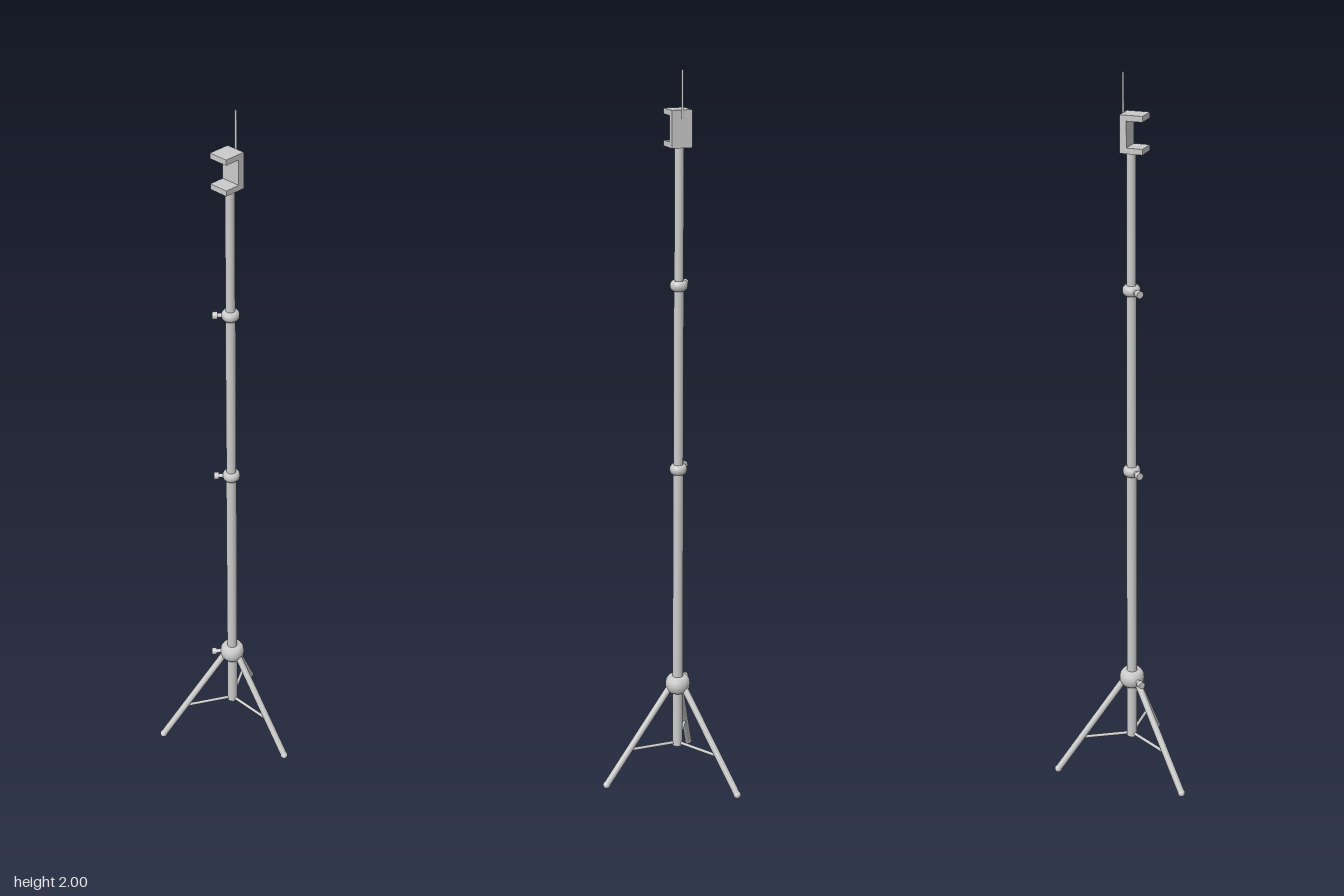
import * as THREE from 'three';

const material = new THREE.MeshStandardMaterial({ color: 0xcccccc });
const PX = -0.002, PZ = -0.053; // pole axis

function add(parent, name, geometry, x = 0, y = 0, z = 0) {
  const mesh = new THREE.Mesh(geometry, material);
  mesh.name = name;
  mesh.position.set(x, y, z);
  parent.add(mesh);
  return mesh;
}

// Round bar between two points
function rod(parent, name, a, b, radius, sides = 20) {
  const dir = b.clone().sub(a);
  const mesh = add(parent, name, new THREE.CylinderGeometry(radius, radius, dir.length(), sides));
  mesh.position.copy(a).add(b).multiplyScalar(0.5);
  mesh.quaternion.setFromUnitVectors(new THREE.Vector3(0, 1, 0), dir.normalize());
  return mesh;
}

// Bulging ring around the pole with a clamping knob at the back right
function collar(parent, name, y, radius, height, knobReach) {
  const group = new THREE.Group();
  group.name = name;
  group.position.y = y;
  const h = height / 2;
  const profile = [[0, -h], [radius * 0.75, -h], [radius * 0.95, -h * 0.55], [radius, 0],
    [radius * 0.95, h * 0.55], [radius * 0.75, h], [0, h]].map(p => new THREE.Vector2(...p));
  add(group, 'ring', new THREE.LatheGeometry(profile, 28));
  const at = d => new THREE.Vector3(-0.74 * d, 0, -0.67 * d);
  rod(group, 'knobStem', at(radius * 0.7), at(knobReach - 0.008), 0.006, 12);
  rod(group, 'knob', at(knobReach - 0.014), at(knobReach), 0.01, 16);
  parent.add(group);
}

export function createModel() {
  const model = new THREE.Group();
  model.name = 'tripodStand';
  const stand = new THREE.Group();
  stand.name = 'stand';
  stand.position.set(PX, 0, PZ);
  model.add(stand);

  // Telescoping pole sections
  [[0.1, 0.925, 0.0145], [0.925, 1.435, 0.0135], [1.435, 1.805, 0.0125]].forEach(([y0, y1, r], i) =>
    add(stand, 'poleSection' + (i + 1), new THREE.CylinderGeometry(r, r, y1 - y0, 24), 0, (y0 + y1) / 2, 0));

  // Hub and clamps
  collar(stand, 'hub', 0.29, 0.035, 0.046, 0.06);
  collar(stand, 'lowerClamp', 0.925, 0.024, 0.027, 0.048);
  collar(stand, 'upperClamp', 1.435, 0.024, 0.027, 0.048);

  // Legs with rounded feet, and braces to the foot of the pole
  for (let i = 0; i < 3; i++) {
    const leg = new THREE.Group();
    leg.name = 'legAssembly' + (i + 1);
    leg.rotation.y = i * Math.PI * 2 / 3;
    const top = new THREE.Vector3(0, 0.29, 0.018), foot = new THREE.Vector3(0, 0.0105, 0.215);
    rod(leg, 'leg', top, foot, 0.0095);
    add(leg, 'foot', new THREE.SphereGeometry(0.0105, 20, 12), foot.x, foot.y, foot.z);
    const joint = top.clone().lerp(foot, (0.29 - 0.108) / (0.29 - 0.0105));
    rod(leg, 'brace', new THREE.Vector3(0, 0.108, 0), joint, 0.0045, 12);
    stand.add(leg);
  }

  // C-shaped holder, open towards the right
  const c = new THREE.Shape();
  [[-0.04, 0], [0.021, 0], [0.021, 0.098], [-0.04, 0.098], [-0.04, 0.083],
    [0.003, 0.083], [0.003, 0.015], [-0.04, 0.015]].forEach(([x, y], i) => (i ? c.lineTo(x, y) : c.moveTo(x, y)));
  const holder = new THREE.ExtrudeGeometry(c, { depth: 0.056, bevelEnabled: false });
  holder.translate(0, 0, -0.028);
  add(stand, 'holder', holder, 0, 1.8, 0);

  // Thin upright rod on the holder
  add(stand, 'topRod', new THREE.CylinderGeometry(0.003, 0.003, 0.125, 12), 0.0215, 1.9375, 0);
  return model;
}
